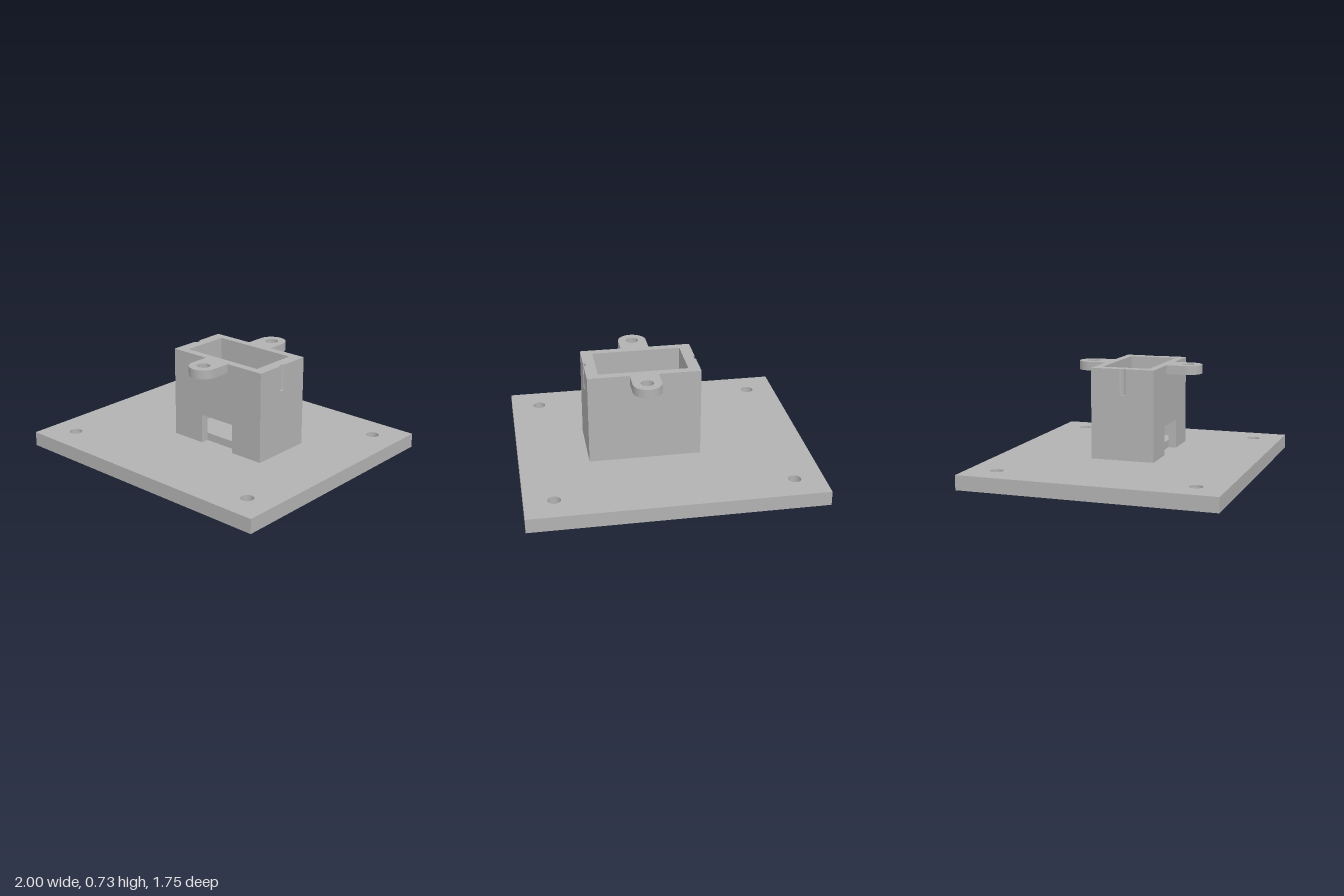
import * as THREE from 'three';
import { toCreasedNormals } from 'three/addons/utils/BufferGeometryUtils.js';

// Plan dimensions (x, z)
const X0 = -0.25, X1 = 0.52, Z = 0.223;            // housing outside
const CX0 = -0.17, CX1 = 0.44, CZ = 0.168;         // cavity
const WX0 = 0, WX1 = 0.275;                        // front opening
const EAR_X = 0.137, EAR_Z = 0.35, EAR_R = 0.098;  // mounting ears
const GROOVE_R = 0.025, GROOVE_D = 0.016;          // side grooves

const polygon = (...pts) => new THREE.Shape(pts.map(([x, z]) => new THREE.Vector2(x, z)));
const rect = (x0, x1, z) => polygon([x0, -z], [x1, -z], [x1, z], [x0, z]);
const circle = (x, z, r) => new THREE.Path().absarc(x, z, r, 0, Math.PI * 2, false);

// Housing outline, optionally with side grooves
function outline(grooves) {
  if (!grooves) return rect(X0, X1, Z);
  const s = new THREE.Shape();
  s.moveTo(X0, -Z);
  s.lineTo(X1, -Z);
  s.lineTo(X1, -GROOVE_R);
  s.absellipse(X1, 0, GROOVE_D, GROOVE_R, -Math.PI / 2, Math.PI / 2, true);
  s.lineTo(X1, Z);
  s.lineTo(X0, Z);
  s.lineTo(X0, GROOVE_R);
  s.absellipse(X0, 0, GROOVE_D, GROOVE_R, Math.PI / 2, -Math.PI / 2, true);
  s.lineTo(X0, -Z);
  return s;
}

export function createModel() {
  const group = new THREE.Group();
  const grey = new THREE.MeshStandardMaterial({ color: 0xb2b2b2 });
  grey.name = 'grey';

  // Extrude a plan shape between two heights
  function slab(name, shape, y0, y1) {
    let geo = new THREE.ExtrudeGeometry(shape, { depth: y1 - y0, bevelEnabled: false, curveSegments: 20 });
    geo.rotateX(Math.PI / 2).translate(0, y1, 0);
    geo = toCreasedNormals(geo, 0.6);
    const mesh = new THREE.Mesh(geo, grey);
    mesh.name = name;
    group.add(mesh);
  }

  // Base plate with corner holes
  const plate = rect(-1, 1, 0.875);
  for (const x of [-0.8, 0.8]) for (const z of [-0.675, 0.675]) plate.holes.push(circle(x, z, 0.044));
  slab('basePlate', plate, 0, 0.1);

  // Cavity floor, notched below the front opening
  slab('housingFloor', polygon([X0, -Z], [X1, -Z], [X1, Z], [WX1, Z], [WX1, CZ], [WX0, CZ], [WX0, Z], [X0, Z]), 0.1, 0.155);

  // Walls beside the front opening
  slab('lowerWalls', polygon(
    [X0, -Z], [X1, -Z], [X1, Z], [WX1, Z], [WX1, CZ], [CX1, CZ],
    [CX1, -CZ], [CX0, -CZ], [CX0, CZ], [WX0, CZ], [WX0, Z], [X0, Z]), 0.155, 0.305);

  // Full walls, then the grooved top section
  for (const [name, grooves, y0, y1] of [['middleWalls', false, 0.305, 0.55], ['upperWalls', true, 0.55, 0.727]]) {
    const walls = outline(grooves);
    walls.holes.push(rect(CX0, CX1, CZ));
    slab(name, walls, y0, y1);
  }

  // Rounded mounting ears with screw holes
  for (const [name, s] of [['frontEar', 1], ['backEar', -1]]) {
    const ear = new THREE.Shape();
    ear.moveTo(EAR_X - EAR_R, s * Z);
    ear.lineTo(EAR_X + EAR_R, s * Z);
    ear.lineTo(EAR_X + EAR_R, s * EAR_Z);
    ear.absarc(EAR_X, s * EAR_Z, EAR_R, 0, s * Math.PI, s < 0);
    ear.lineTo(EAR_X - EAR_R, s * Z);
    ear.holes.push(circle(EAR_X, s * EAR_Z, 0.044));
    slab(name, ear, 0.665, 0.727);
  }

  return group;
}
